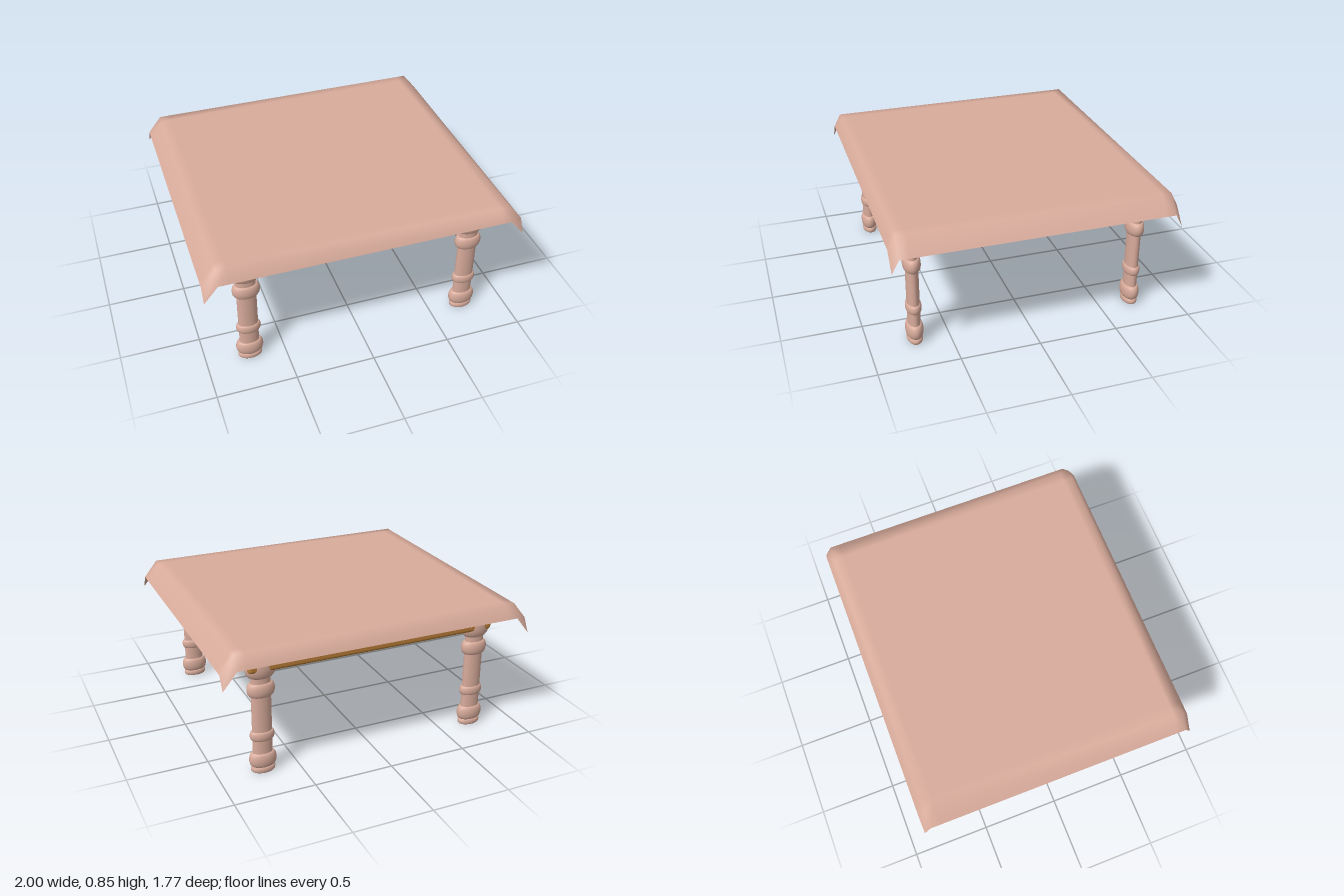
import * as THREE from 'three';
import { RoundedBoxGeometry } from 'three/addons/geometries/RoundedBoxGeometry.js';

const LEG_X = 0.72, LEG_Z = 0.715, LEG_FLATTEN = 0.63;

const rose = new THREE.MeshStandardMaterial({ color: 0xd8ab9b });
rose.name = 'dusty rose';
rose.side = THREE.DoubleSide;
const wood = new THREE.MeshStandardMaterial({ color: 0xb67c36 });
wood.name = 'golden wood';

function addMesh(parent, name, geometry, material) {
  const mesh = new THREE.Mesh(geometry, material);
  mesh.name = name;
  parent.add(mesh);
  return mesh;
}

// Turned piece from [radius, height] pairs listed bottom to top
function turned(points) {
  return new THREE.LatheGeometry(points.map(([r, y]) => new THREE.Vector2(r, y)), 32);
}

// Rounded collar that swells from a narrow radius to a wide one
function collar(y0, y1, narrow, wide) {
  const points = [[0, y0]];
  for (let i = 0; i <= 10; i++) {
    const a = (i / 10) * Math.PI;
    points.push([narrow + (wide - narrow) * Math.sin(a), (y0 + y1) / 2 - Math.cos(a) * (y1 - y0) / 2]);
  }
  points.push([0, y1]);
  return turned(points);
}

// Oval turned leg with its foot, collars and flared head
function createLeg() {
  const leg = new THREE.Group();
  const shaft = addMesh(leg, 'shaft', new THREE.CylinderGeometry(0.0615, 0.0615, 0.64, 32), rose);
  shaft.position.y = 0.34;
  addMesh(leg, 'foot', turned([[0, 0], [0.068, 0], [0.074, 0.006], [0.076, 0.018], [0.074, 0.03], [0.066, 0.037], [0, 0.037]]), rose);
  addMesh(leg, 'lowerCollar', collar(0.036, 0.128, 0.062, 0.086), rose);
  addMesh(leg, 'middleCollar', collar(0.214, 0.273, 0.0615, 0.077), rose);
  addMesh(leg, 'upperCollar', collar(0.502, 0.59, 0.0615, 0.086), rose);
  addMesh(leg, 'head', turned([[0.06, 0.622], [0.074, 0.63], [0.086, 0.645], [0.093, 0.665], [0.096, 0.685], [0.094, 0.71], [0.089, 0.73], [0.075, 0.745], [0, 0.75]]), rose);
  leg.scale.z = LEG_FLATTEN;
  return leg;
}

// Draped sheet: each axis adds its own drop, so the corners hang lowest
function createCloth() {
  const profile = (lines) => [...lines.map(([p, d]) => [-p, d]), ...lines.slice().reverse()];
  const xs = profile([[1, 0.108], [0.912, 0], [0.85, 0]]);
  const zs = profile([[0.885, 0.085], [0.84, 0], [0.78, 0]]);
  const positions = [], index = [];
  const n = xs.length;
  for (const [z, dz] of zs) {
    for (const [x, dx] of xs) positions.push(x, 0.852 - dx - dz, z);
  }
  for (let j = 0; j < zs.length - 1; j++) {
    for (let i = 0; i < n - 1; i++) {
      const a = j * n + i, b = a + 1, c = a + n, d = c + 1;
      // diagonals run outward through the corners
      if ((i < n / 2 - 1) === (j < n / 2 - 1)) index.push(a, c, d, a, d, b);
      else index.push(a, c, b, b, c, d);
    }
  }
  const geometry = new THREE.BufferGeometry();
  geometry.setAttribute('position', new THREE.Float32BufferAttribute(positions, 3));
  geometry.setIndex(index);
  geometry.computeVertexNormals();
  return geometry;
}

export function createModel() {
  const table = new THREE.Group();
  table.name = 'table';

  addMesh(table, 'tablecloth', createCloth(), rose);

  // Wooden slab under the cloth and the apron below it
  const slab = addMesh(table, 'tabletop', new RoundedBoxGeometry(1.77, 0.088, 1.64, 4, 0.035), wood);
  slab.position.y = 0.802;
  const apron = addMesh(table, 'apron', new RoundedBoxGeometry(1.615, 0.14, 1.54, 4, 0.022), wood);
  apron.position.y = 0.738;

  for (const x of [-1, 1]) {
    for (const z of [-1, 1]) {
      const leg = createLeg();
      leg.name = (z > 0 ? 'front' : 'back') + (x > 0 ? 'Left' : 'Right') + 'Leg';
      leg.position.set(x * LEG_X, 0, z * LEG_Z);
      table.add(leg);
    }
  }
  return table;
}
